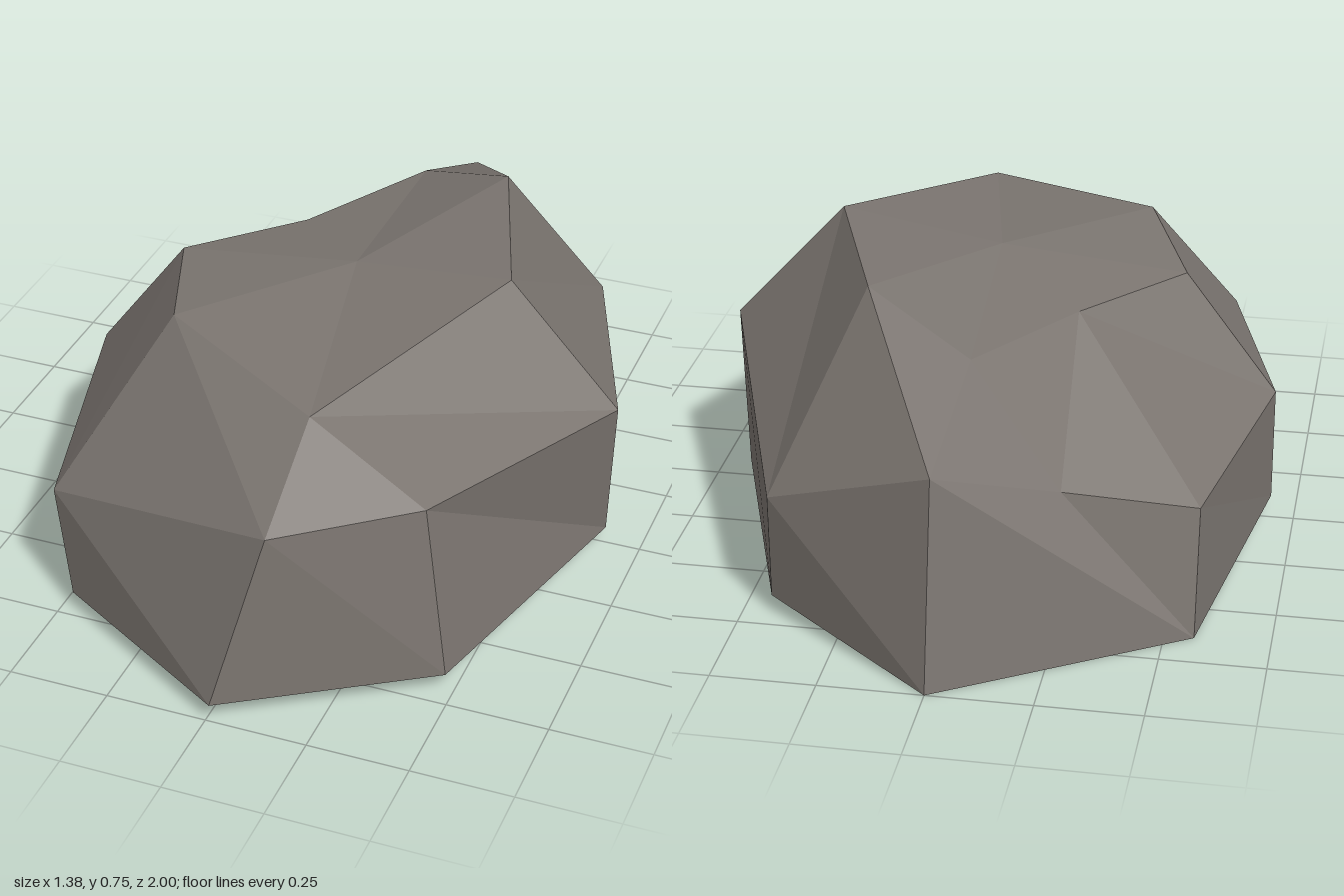
import * as THREE from 'three';

// Rings run from the front point round by the left side (+x), the back and the right side.
const base = [[0.01, 0.045, 1], [0.48, 0.045, 0.7], [0.66, 0.045, 0], [0.43, 0.045, -0.69],
  [0, 0, -1], [-0.57, 0, -0.64], [-0.69, 0.045, 0.03], [-0.47, 0.045, 0.72]];
const shoulder = [[0.12, 0.48, 0.91], [0.42, 0.485, 0.68], [0.69, 0.44, 0.06], [0.43, 0.31, -0.7],
  [0, 0.5, -0.91], [-0.57, 0.31, -0.58], [-0.69, 0.335, 0.03], [-0.53, 0.3, 0.67]];
const frontTop = [0.12, 0.64, 0.635]; // shared by two shoulder points
const crown = [frontTop, frontTop, [0.41, 0.745, 0.06], [0.24, 0.745, -0.43],
  [-0.03, 0.64, -0.57], [-0.23, 0.63, -0.23], [-0.46, 0.64, 0.03], [-0.33, 0.67, 0.38]];
const notch = [-0.26, 0.38, -0.69]; // dent in the back edge
const topCentre = [0, 0.69, 0.02];
const baseCentre = [0, 0.045, 0];
const NOTCHED = 4;

function facetMesh(name, material, triangles) {
  const geometry = new THREE.BufferGeometry();
  geometry.setAttribute('position', new THREE.Float32BufferAttribute(triangles.flat(2), 3));
  geometry.computeVertexNormals(); // unshared corners keep every facet flat
  const mesh = new THREE.Mesh(geometry, material);
  mesh.name = name;
  return mesh;
}

// Quad from lower a-b to upper d-c, leaving out a collapsed half
function quad(a, b, c, d) {
  return c === d ? [[a, b, c]] : [[a, b, d], [b, c, d]];
}

export function createModel() {
  const rock = new THREE.MeshStandardMaterial({ color: 0x7b7570 });
  rock.name = 'rock grey';
  const walls = [], slopes = [], top = [], underside = [];

  for (let i = 0; i < 8; i++) {
    const j = (i + 1) % 8;
    const [b0, b1, m0, m1, t0, t1] = [base[i], base[j], shoulder[i], shoulder[j], crown[i], crown[j]];
    if (i === NOTCHED) {
      walls.push([b0, b1, m0], [m0, b1, notch], [notch, b1, m1]);
      slopes.push([m0, notch, t0], [notch, t1, t0], [notch, m1, t1]);
    } else {
      walls.push(...quad(b0, b1, m1, m0));
      slopes.push(...quad(m0, m1, t1, t0));
    }
    if (t0 !== t1) top.push([t0, t1, topCentre]);
    underside.push([b1, b0, baseCentre]);
  }

  const group = new THREE.Group();
  group.name = 'boulder';
  group.add(
    facetMesh('walls', rock, walls),
    facetMesh('slopes', rock, slopes),
    facetMesh('top', rock, top),
    facetMesh('underside', rock, underside)
  );
  return group;
}
